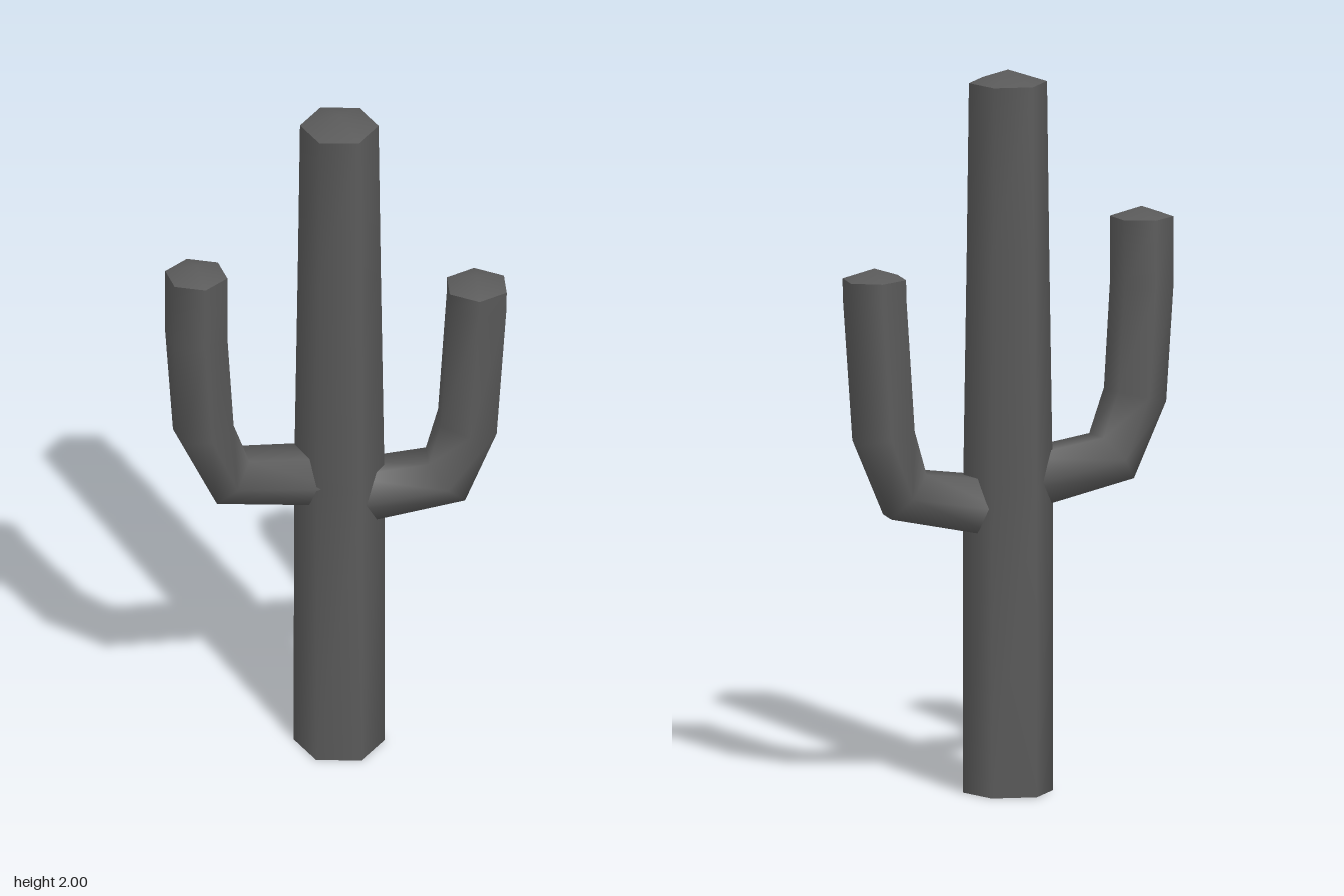
import * as THREE from 'three';
import { mergeVertices } from 'three/addons/utils/BufferGeometryUtils.js';

const SIDES = 6;

// Six-sided stem swept along a path of [reach, height, radius] in the vertical
// plane turned to the given heading; returns the side wall and the peaked tip.
function stemGeometries(path, heading, tipHeight) {
  const out = new THREE.Vector3(Math.cos(heading), 0, Math.sin(heading));
  const up = new THREE.Vector3(0, 1, 0);
  const at = ([r, y]) => out.clone().multiplyScalar(r).addScaledVector(up, y);
  const centres = path.map(at);
  const last = path.length - 1;
  const segment = (i) => centres[i + 1].clone().sub(centres[i]).normalize();

  const rings = centres.map((c, i) => {
    const t = new THREE.Vector3();
    if (i > 0) t.add(segment(i - 1));
    if (i < last) t.add(segment(i));
    t.normalize();
    const u = out.clone().multiplyScalar(t.y).addScaledVector(up, -t.dot(out));
    const v = t.clone().cross(u);
    return Array.from({ length: SIDES }, (_, k) => {
      const a = Math.PI / 2 + (k * Math.PI * 2) / SIDES;
      return c.clone()
        .addScaledVector(u, Math.cos(a) * path[i][2])
        .addScaledVector(v, Math.sin(a) * path[i][2]);
    });
  });

  const wall = [];
  for (let i = 0; i < last; i++) {
    for (let k = 0; k < SIDES; k++) {
      const n = (k + 1) % SIDES;
      const [a, b, c, d] = [rings[i][k], rings[i][n], rings[i + 1][n], rings[i + 1][k]];
      wall.push(a, b, c, a, c, d);
    }
  }

  const tip = [];
  const apex = centres[last].clone().addScaledVector(up, tipHeight);
  for (let k = 0; k < SIDES; k++) tip.push(rings[last][k], rings[last][(k + 1) % SIDES], apex);

  // Smooth within the wall and within the tip, sharp at the rim between them
  return [wall, tip].map((points) => {
    const g = mergeVertices(new THREE.BufferGeometry().setFromPoints(points));
    g.computeVertexNormals();
    return g;
  });
}

export function createModel() {
  const model = new THREE.Group();
  model.name = 'cactus';
  const skin = new THREE.MeshStandardMaterial({ color: 0x5a5a5a, side: THREE.DoubleSide });
  skin.name = 'dark grey skin';

  const addStem = (name, path, degrees, tipHeight) => {
    const stem = new THREE.Group();
    stem.name = name;
    stem.position.set(0.025, 0, -0.035);
    stemGeometries(path, THREE.MathUtils.degToRad(degrees), tipHeight).forEach((g, i) => {
      const mesh = new THREE.Mesh(g, skin);
      mesh.name = name + (i ? 'Tip' : 'Wall');
      stem.add(mesh);
    });
    model.add(stem);
  };

  // Trunk, open underneath
  addStem('trunk', [
    [0, 0, 0.125], [0, 0.85, 0.124], [0, 1.5, 0.114], [0, 1.965, 0.108],
  ], 0, 0.035);

  // Lower arm, reaching left and forward
  addStem('leftArm', [
    [0.02, 0.79, 0.09], [0.291, 0.835, 0.09], [0.351, 1.0, 0.09],
    [0.376, 1.38, 0.09], [0.377, 1.435, 0.09],
  ], 24.5, 0.03);

  // Higher arm, reaching right and back
  addStem('rightArm', [
    [0.02, 0.855, 0.087], [0.317, 0.905, 0.087], [0.389, 1.07, 0.087],
    [0.409, 1.37, 0.087], [0.409, 1.562, 0.087],
  ], 192.2, 0.028);

  return model;
}
